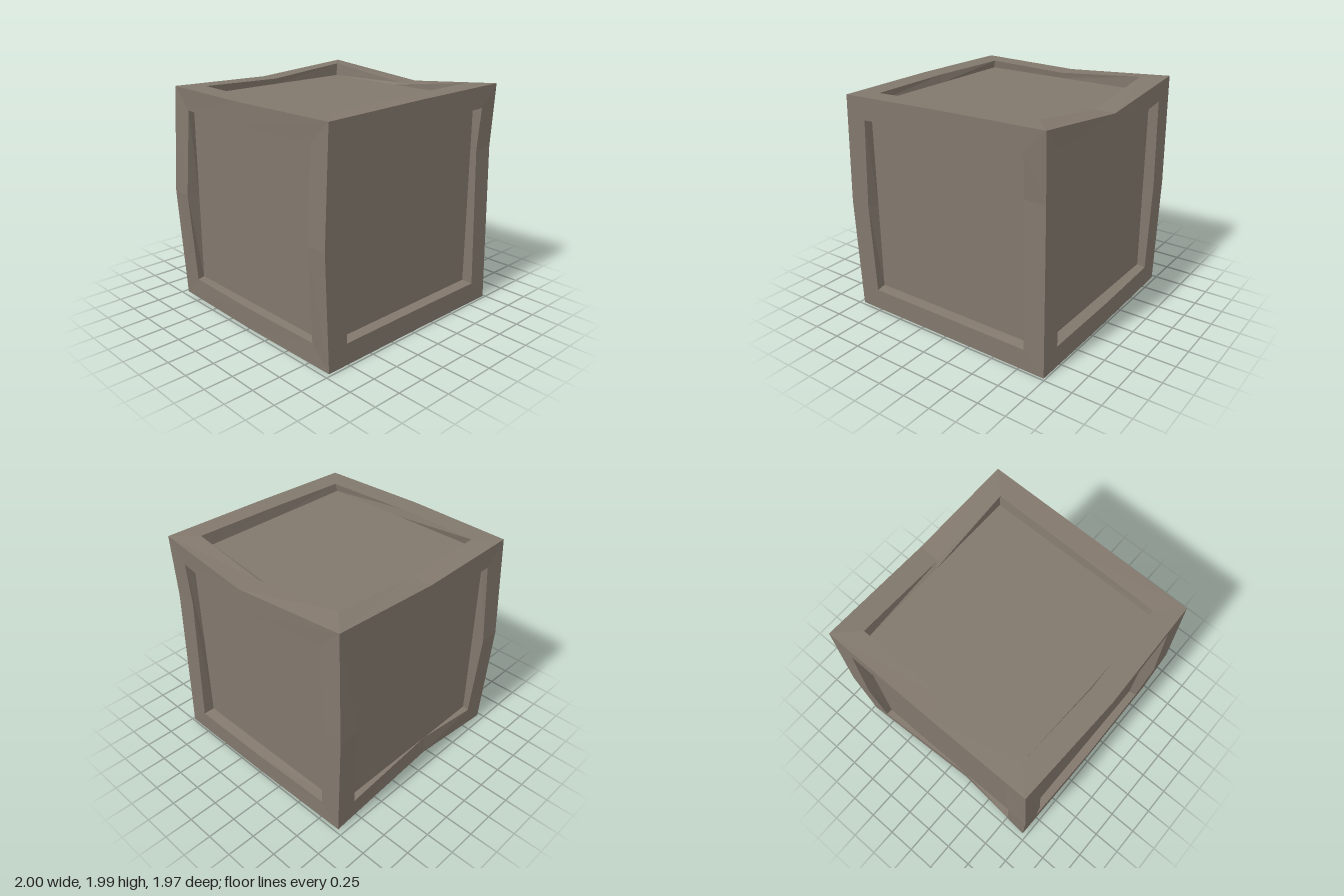
import * as THREE from 'three';

// Corners and edge kinks of the warped cube, keyed by side: - low, 0 middle, + high (x, y, z)
const POINTS = {
  '-++': [-0.957, 1.94, 0.98], '+++': [0.97, 1.98, 0.98],
  '-+-': [-0.95, 1.94, -0.957], '++-': [0.98, 1.985, -0.967],
  '--+': [-0.957, 0.005, 0.98], '+-+': [0.985, 0, 0.98],
  '---': [-0.96, 0.01, -0.95], '+--': [0.975, 0.01, -0.95],
  '0++': [0, 1.965, 0.98], '0+-': [0, 1.92, -0.96],
  '0-+': [0, 0.005, 0.98], '0--': [-0.2, 0.01, -0.89],
  '-0+': [-0.995, 1, 0.98], '+0+': [0.963, 1.43, 0.955],
  '-0-': [-0.997, 1, -0.985], '+0-': [0.985, 1, -0.985],
  '-+0': [-0.985, 1.94, 0], '++0': [1, 1.89, 0.06],
  '--0': [-0.97, 0.005, 0], '+-0': [0.985, 0, 0],
};
const CENTRE = [0, 0.98, 0];
const BORDER = 0.187;      // width of the frame
const PANEL_HALF = 0.78;   // half size of a sunken panel
const PANEL_OUT = 0.89;    // distance of a panel from the centre
const LOOP = [[-1, -1], [0, -1], [1, -1], [1, 0], [1, 1], [0, 1], [-1, 1], [-1, 0]];

function makeMesh(name, positions, material) {
  const geometry = new THREE.BufferGeometry();
  geometry.setAttribute('position', new THREE.Float32BufferAttribute(positions, 3));
  geometry.computeVertexNormals(); // unshared corners give flat facets
  const mesh = new THREE.Mesh(geometry, material);
  mesh.name = name;
  return mesh;
}

// Band of quads between two closed loops
function band(out, a, b) {
  a.forEach((p, i) => {
    const j = (i + 1) % a.length;
    out.push(...p, ...a[j], ...b[j], ...p, ...b[j], ...b[i]);
  });
}

function buildSide(name, axis, sign, material) {
  const u = (axis + 1) % 3, v = (axis + 2) % 3;
  const loop = sign > 0 ? LOOP : [...LOOP].reverse();
  const outer = [], inner = [], panel = [];
  for (const [a, b] of loop) {
    const side = [];
    side[axis] = sign; side[u] = a; side[v] = b;
    const p = POINTS[side.map((s) => '-0+'[s + 1]).join('')];
    outer.push(p);
    const q = [...p];
    q[u] -= a * BORDER;
    q[v] -= b * BORDER;
    inner.push(q);
    panel.push(CENTRE.map((c, k) => c + side[k] * (k === axis ? PANEL_OUT : PANEL_HALF)));
  }
  const group = new THREE.Group();
  group.name = name;

  // Border and the walls of its recess
  const frame = [];
  band(frame, outer, inner);
  band(frame, inner, panel);
  group.add(makeMesh(name + 'Frame', frame, material));

  // Flat sunken panel
  const flat = [];
  for (let i = 1; i < panel.length - 1; i++) flat.push(...panel[0], ...panel[i], ...panel[i + 1]);
  group.add(makeMesh(name + 'Panel', flat, material));
  return group;
}

export function createModel() {
  const model = new THREE.Group();
  model.name = 'crate';
  const stone = new THREE.MeshStandardMaterial({ color: 0x82786d, flatShading: true });
  stone.name = 'warm grey';
  const names = [['left', 'right'], ['top', 'bottom'], ['front', 'back']];
  names.forEach(([high, low], axis) => {
    model.add(buildSide(high, axis, 1, stone), buildSide(low, axis, -1, stone));
  });
  return model;
}
